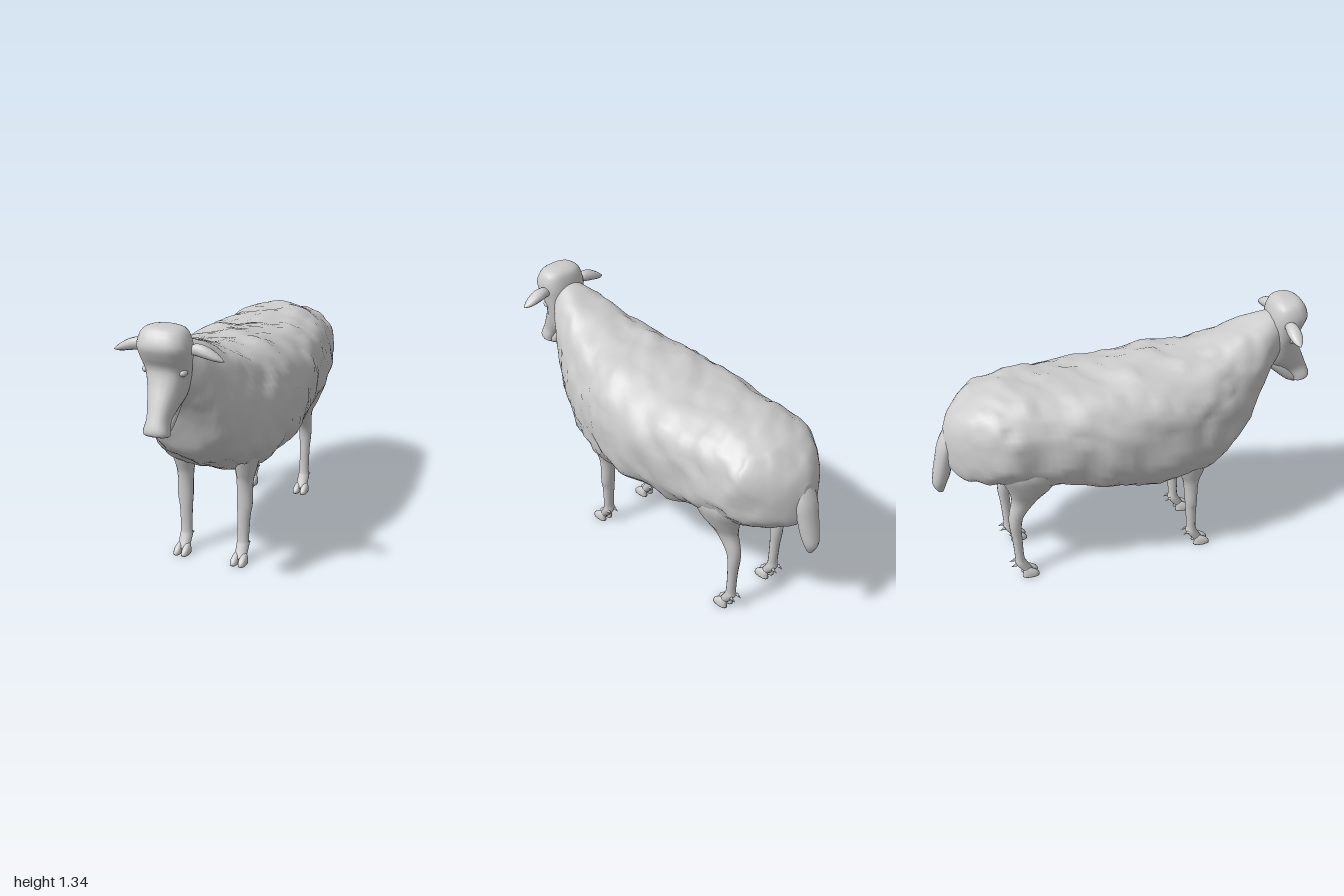
import * as THREE from 'three';

const V = (x, y, z) => new THREE.Vector3(x, y, z);

// Smoothly resample rows of numbers with a Catmull-Rom rule
function resample(rows, count) {
  const out = [];
  for (let i = 0; i <= count; i++) {
    const t = (i / count) * (rows.length - 1);
    const k = Math.min(Math.floor(t), rows.length - 2), f = t - k;
    const [a, b, c, d] = [-1, 0, 1, 2].map(o => rows[Math.max(0, Math.min(rows.length - 1, k + o))]);
    out.push(b.map((v, j) => v + 0.5 * f * (c[j] - a[j] + f * (2 * a[j] - 5 * v + 4 * c[j] - d[j] + f * (3 * (v - c[j]) + d[j] - a[j])))));
  }
  return out;
}

// Closed skin over rings of points, capped at both ends and facing outward
function skin(rings) {
  const n = rings[0].length, pts = rings.flat(), idx = [];
  for (let r = 0; r < rings.length - 1; r++) {
    for (let i = 0; i < n; i++) {
      const a = r * n + i, b = r * n + (i + 1) % n;
      idx.push(a, b, a + n, b, b + n, a + n);
    }
  }
  for (const [r, flip] of [[0, true], [rings.length - 1, false]]) {
    const c = pts.length;
    pts.push(rings[r].reduce((s, p) => s.add(p), V(0, 0, 0)).divideScalar(n));
    for (let i = 0; i < n; i++) {
      const a = r * n + i, b = r * n + (i + 1) % n;
      idx.push(...(flip ? [b, a, c] : [a, b, c]));
    }
  }
  let volume = 0;
  const cross = V(0, 0, 0);
  for (let i = 0; i < idx.length; i += 3) {
    volume += pts[idx[i]].dot(cross.crossVectors(pts[idx[i + 1]], pts[idx[i + 2]]));
  }
  if (volume < 0) idx.reverse();
  const g = new THREE.BufferGeometry().setFromPoints(pts);
  g.setIndex(idx);
  g.computeVertexNormals();
  return g;
}

// Rounded ring; power below 1 makes it squarer
function ring(center, a, b, n, power = 1) {
  const e = v => Math.sign(v) * Math.abs(v) ** power;
  return Array.from({ length: n }, (_, i) => {
    const t = (i / n) * Math.PI * 2;
    return center.clone().addScaledVector(a, e(Math.cos(t))).addScaledVector(b, e(Math.sin(t)));
  });
}

// Upright limb from rows of [x, y, z, half width, half depth]
const limb = (rows, count, n = 12, power = 1) => skin(
  resample(rows, count).map(([x, y, z, a, b]) => ring(V(x, y, z), V(a, 0, 0), V(0, 0, b), n, power)));

// Seeded smooth noise for the fleece
function hash(x, y, z) {
  const s = Math.sin(x * 127.1 + y * 311.7 + z * 74.7) * 43758.5453;
  return (s - Math.floor(s)) * 2 - 1;
}
function noise(x, y, z) {
  const i = [x, y, z].map(Math.floor);
  const [u, v, w] = [x - i[0], y - i[1], z - i[2]].map(t => t * t * (3 - 2 * t));
  let sum = 0;
  for (let k = 0; k < 8; k++) {
    const a = k & 1, b = (k >> 1) & 1, c = k >> 2;
    sum += hash(i[0] + a, i[1] + b, i[2] + c) * (a ? u : 1 - u) * (b ? v : 1 - v) * (c ? w : 1 - w);
  }
  return sum;
}

// Fleece sections: [z, top, bottom, half width, height of widest point]
const BODY = [
  [0.82, 1.25, 1.04, 0.07, 1.14], [0.76, 1.26, 0.97, 0.115, 1.1], [0.69, 1.245, 0.85, 0.165, 1.02],
  [0.61, 1.22, 0.66, 0.205, 0.93], [0.5, 1.18, 0.565, 0.255, 0.86], [0.36, 1.14, 0.48, 0.295, 0.82],
  [0.2, 1.13, 0.455, 0.33, 0.82], [0, 1.11, 0.47, 0.345, 0.82], [-0.2, 1.085, 0.5, 0.345, 0.82],
  [-0.4, 1.085, 0.545, 0.32, 0.83], [-0.58, 1.09, 0.56, 0.305, 0.83], [-0.7, 1.065, 0.59, 0.28, 0.83],
  [-0.8, 1.015, 0.61, 0.215, 0.81], [-0.88, 0.94, 0.64, 0.12, 0.79], [-0.92, 0.86, 0.68, 0.03, 0.77]
];
function fleece() {
  const rings = resample(BODY, 80).map(([z, top, bottom, w, mid]) => Array.from({ length: 56 }, (_, i) => {
    const t = (i / 56) * Math.PI * 2, c = Math.cos(t), s = Math.sin(t);
    const p = s < 0 ? 0.72 : 0.86;
    const x = Math.sign(c) * Math.abs(c) ** p * w;
    const y = mid + (s > 0 ? (top - mid) * s ** p : -(mid - bottom) * (-s) ** p);
    const calm = Math.min(1, Math.max(0.2, (0.85 - z) * 2.5));
    const lump = calm * (0.016 * noise(x * 9 + 5, y * 9, z * 8) + 0.011 * noise(x * 21, y * 21 + 3, z * 19));
    return V(x + c * lump, y + s * lump, z + lump * 0.5);
  }));
  return skin(rings);
}

// Head sections: [front z, front y, back z, back y, half width]
const HEAD = [
  [0.85, 1.337, 0.81, 1.337, 0.03], [0.91, 1.325, 0.77, 1.315, 0.095], [0.947, 1.26, 0.75, 1.25, 0.123],
  [0.93, 1.205, 0.745, 1.17, 0.115], [0.902, 1.15, 0.74, 1.07, 0.1], [0.915, 1.09, 0.755, 0.99, 0.085],
  [0.945, 1.02, 0.82, 0.95, 0.066], [0.975, 0.95, 0.87, 0.915, 0.053], [0.997, 0.895, 0.9, 0.88, 0.06],
  [0.985, 0.87, 0.905, 0.86, 0.056], [0.95, 0.862, 0.92, 0.857, 0.03]
];
const JAW = [
  [0.79, 1.0, 0.75, 0.97, 0.045], [0.845, 0.97, 0.8, 0.925, 0.05],
  [0.9, 0.91, 0.865, 0.868, 0.045], [0.945, 0.875, 0.91, 0.845, 0.035]
];
const tilted = (rows, count) => skin(resample(rows, count).map(([fz, fy, bz, by, w]) =>
  ring(V(0, (fy + by) / 2, (fz + bz) / 2), V(w, 0, 0), V(0, (fy - by) / 2, (fz - bz) / 2), 20, 0.82)));

// Leg rows: [x, y, z, half width, half depth]
const FRONT_LEG = [
  [0.175, 0.64, 0.32, 0.08, 0.11], [0.165, 0.5, 0.315, 0.055, 0.07], [0.16, 0.42, 0.318, 0.042, 0.042],
  [0.16, 0.3, 0.322, 0.041, 0.032], [0.157, 0.24, 0.325, 0.034, 0.029], [0.155, 0.12, 0.33, 0.03, 0.024],
  [0.155, 0.08, 0.335, 0.033, 0.031], [0.155, 0.025, 0.37, 0.03, 0.026]
];
const HIND_LEG = [
  [0.18, 0.84, -0.54, 0.06, 0.12], [0.185, 0.7, -0.53, 0.105, 0.165], [0.17, 0.58, -0.53, 0.085, 0.12],
  [0.158, 0.49, -0.56, 0.05, 0.07], [0.155, 0.4, -0.604, 0.038, 0.042], [0.155, 0.33, -0.617, 0.034, 0.032],
  [0.155, 0.24, -0.612, 0.028, 0.026], [0.155, 0.12, -0.606, 0.027, 0.024],
  [0.155, 0.08, -0.6, 0.032, 0.031], [0.155, 0.025, -0.565, 0.03, 0.026]
];
const TAIL = [
  [0, 0.9, -0.87, 0.03, 0.02], [0, 0.8, -0.9, 0.065, 0.045], [0, 0.7, -0.925, 0.06, 0.045],
  [0, 0.62, -0.942, 0.05, 0.045], [0, 0.56, -0.957, 0.038, 0.036], [0, 0.51, -0.955, 0.015, 0.015]
];

export function createModel() {
  const model = new THREE.Group();
  model.name = 'sheep';
  const wool = new THREE.MeshStandardMaterial({ color: 0xcccccc });
  wool.name = 'pale grey';
  const add = (name, geometry, parent = model) => {
    const mesh = new THREE.Mesh(geometry, wool);
    mesh.name = name;
    parent.add(mesh);
    return mesh;
  };

  add('fleece', fleece());
  add('tail', limb(TAIL, 16, 14));
  add('head', tilted(HEAD, 36));
  add('lowerJaw', tilted(JAW, 10));

  for (const [side, s] of [['left', 1], ['right', -1]]) {
    // Leaf-shaped ears, drooping slightly outward
    const ear = resample([
      [0.09, 1.222, 0.012, 0.015], [0.13, 1.232, 0.026, 0.026], [0.18, 1.224, 0.027, 0.032],
      [0.23, 1.206, 0.017, 0.024], [0.263, 1.192, 0.002, 0.003]
    ], 14).map(([x, y, h, d]) => ring(V(s * x, y, 0.82), V(0, h, d * 0.35), V(0, -h * 0.25, d), 12));
    add(side + 'Ear', skin(ear));

    // Eyes
    const eye = add(side + 'Eye', new THREE.SphereGeometry(1, 14, 10));
    eye.scale.set(0.018, 0.017, 0.025);
    eye.position.set(s * 0.088, 1.133, 0.855);

    // Legs with cloven hooves and dewclaws
    for (const [name, rows, z] of [['FrontLeg', FRONT_LEG, 0.385], ['HindLeg', HIND_LEG, -0.555]]) {
      const leg = new THREE.Group();
      leg.name = side + name;
      model.add(leg);
      add('shank', limb(rows.map(([x, ...r]) => [s * x, ...r]), 32, 14), leg);
      for (const toe of [-1, 1]) {
        const x = s * 0.155 + toe * 0.021;
        add('hoof', limb([
          [x, 0, z, 0.02, 0.044], [x, 0.018, z, 0.02, 0.041],
          [x, 0.036, z - 0.01, 0.016, 0.03], [x, 0.05, z - 0.022, 0.008, 0.014]
        ], 6, 12, 0.85), leg);
        const claw = add('dewclaw', new THREE.ConeGeometry(0.009, 0.035, 6), leg);
        claw.position.set(x, 0.083, z - 0.088);
        claw.rotation.x = -Math.PI / 2 - 0.3;
      }
    }
  }
  return model;
}
